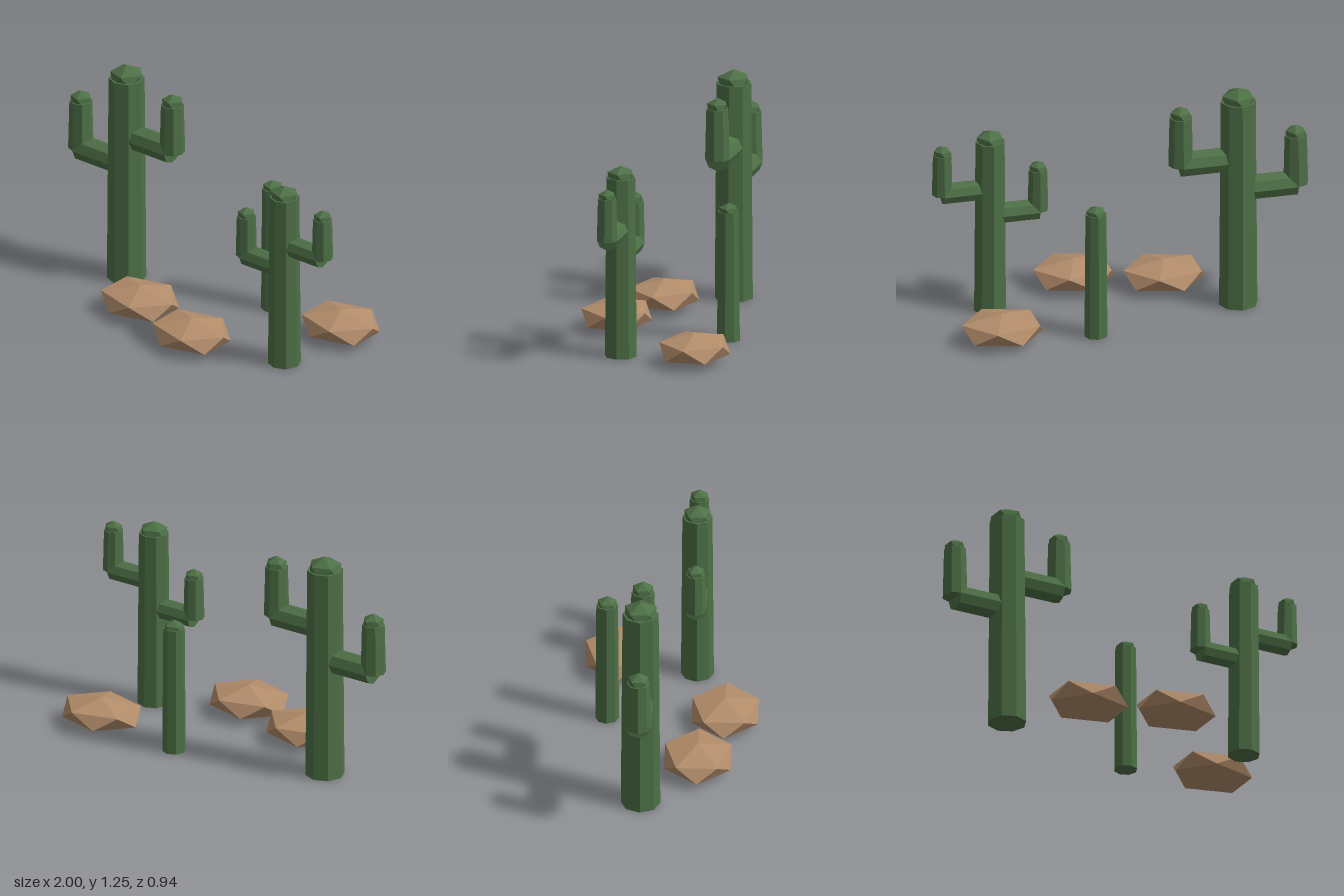
import * as THREE from 'three';

const green = new THREE.MeshStandardMaterial({ name: 'cactus green', color: 0x4d7046 });
const tan = new THREE.MeshStandardMaterial({ name: 'rock tan', color: 0xb38d6b });

function addMesh(parent, name, geometry, material, x, y, z) {
  const mesh = new THREE.Mesh(geometry, material);
  mesh.name = name;
  mesh.position.set(x, y, z);
  parent.add(mesh);
  return mesh;
}

// Eight-sided faceted column
function column(rTop, rBottom, height) {
  const g = new THREE.CylinderGeometry(rTop, rBottom, height, 8).toNonIndexed();
  g.computeVertexNormals();
  return g;
}

// Icosahedron standing on a point, stretched per axis
function gem(rx, ry, rz) {
  const g = new THREE.IcosahedronGeometry(1, 0);
  g.rotateZ(-Math.atan(2 / (1 + Math.sqrt(5))));
  g.scale(rx, ry, rz);
  g.computeVertexNormals();
  return g;
}

// Arm: a horizontal branch from the trunk, then an upright with a tip
function addArm(cactus, name, side, y, top) {
  const arm = new THREE.Group();
  arm.name = name;
  const reach = 0.315;
  const branch = column(0.069, 0.069, reach);
  branch.rotateZ(Math.PI / 2);
  addMesh(arm, 'branch', branch, green, side * reach / 2, y, 0);
  addMesh(arm, 'upright', column(0.061, 0.068, top - y), green, side * reach, (y + top) / 2, 0);
  addMesh(arm, 'armTip', gem(0.062, 0.055, 0.062), green, side * reach, top + 0.004, 0);
  cactus.add(arm);
}

function addCactus(parent, name, x, z, scale, hasArms) {
  const cactus = new THREE.Group();
  cactus.name = name;
  addMesh(cactus, 'trunk', column(0.096, 0.105, 1.18), green, 0, 0.59, 0);
  addMesh(cactus, 'trunkTip', gem(0.097, 0.074, 0.097), green, 0, 1.18, 0);
  if (hasArms) {
    addArm(cactus, 'rightArm', -1, 0.667, 0.944);
    addArm(cactus, 'leftArm', 1, 0.843, 1.12);
  }
  cactus.position.set(x, 0, z);
  cactus.scale.setScalar(scale);
  parent.add(cactus);
}

export function createModel() {
  const model = new THREE.Group();
  model.name = 'desertCacti';

  addCactus(model, 'tallCactus', -0.617, -0.126, 1, true);
  addCactus(model, 'mediumCactus', 0.677, 0.125, 0.832, true);
  addCactus(model, 'smallCactus', 0.216, -0.336, 0.6, false);

  // Flattened rocks resting on the ground
  [[-0.284, 0.165], [0.176, 0.292], [0.718, -0.294]].forEach(([x, z], i) =>
    addMesh(model, `rock${i + 1}`, gem(0.248, 0.083, 0.207), tan, x, 0.083, z));

  return model;
}
